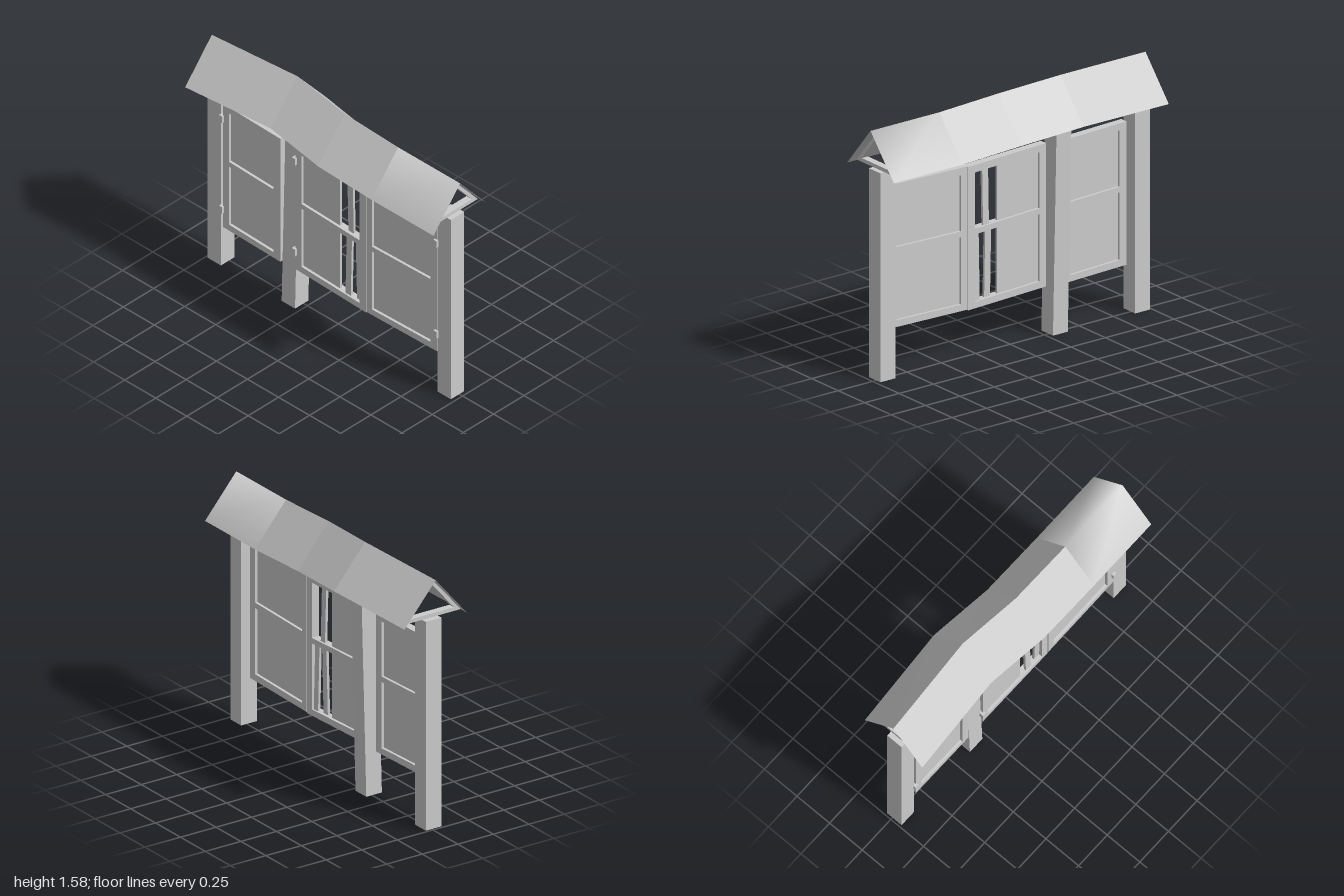
import * as THREE from 'three';

const grey = new THREE.MeshStandardMaterial({ color: 0xcccccc });
const sheet = new THREE.MeshStandardMaterial({ color: 0xcccccc, side: THREE.DoubleSide });

function add(parent, name, geometry, material = grey) {
  const mesh = new THREE.Mesh(geometry, material);
  mesh.name = name;
  parent.add(mesh);
  return mesh;
}

// Side outline given as [z, y] corners, thickened from x0 to x1
const outline = (pts) => pts.map(([z, y]) => new THREE.Vector2(-z, y));
function slab(pts, x0, x1, holes = []) {
  const shape = new THREE.Shape(outline(pts));
  for (const h of holes) shape.holes.push(new THREE.Path(outline(h)));
  const g = new THREE.ExtrudeGeometry(shape, { depth: x1 - x0, bevelEnabled: false });
  return g.rotateY(Math.PI / 2).translate(x0, 0, 0);
}

// Four corners between two z values, with a top and bottom that may slope
const quad = (za, zb, [ba, ta], [bb, tb]) => [[za, ba], [zb, bb], [zb, tb], [za, ta]];

// Post with an open foot, its top shifted sideways by lean
function post(z, height, lean) {
  const g = new THREE.BoxGeometry(0.11, height, 0.108).translate(-0.015, height / 2, z);
  const p = g.attributes.position;
  for (let i = 0; i < p.count; i++) p.setX(i, p.getX(i) + lean * p.getY(i) / height);
  const index = Array.from(g.index.array);
  index.splice(18, 6);
  g.setIndex(index);
  g.clearGroups();
  g.computeVertexNormals();
  return g;
}

// Triangular roof frame standing on a post
function truss(z, dx, dy) {
  const tri = (half, base, apex) => [[-half, base], [half, base], [0, apex]]
    .map(([x, y]) => new THREE.Vector2(x - 0.02 + dx, y + dy));
  const shape = new THREE.Shape(tri(0.205, 1.285, 1.525));
  shape.holes.push(new THREE.Path(tri(0.157, 1.308, 1.493)));
  return new THREE.ExtrudeGeometry(shape, { depth: 0.045, bevelEnabled: false })
    .translate(0, 0, z - 0.0225);
}

// Folded roof sheet through stations [z, ridge x, ridge y, eave y]
function roofSheet(stations, smooth) {
  const pos = [], idx = [];
  for (const [z, x, ridge, eave] of stations) {
    pos.push(x - 0.22, eave - 0.003, z, x, ridge, z, x + 0.22, eave, z);
  }
  for (let i = 0; i < stations.length - 1; i++) {
    for (let k = 0; k < 2; k++) {
      const a = i * 3 + k, b = a + 3;
      idx.push(a, a + 1, b, a + 1, b + 1, b);
    }
  }
  // Stations run from front to back, so flip to face outwards
  for (let i = 0; i < idx.length; i += 3) [idx[i + 1], idx[i + 2]] = [idx[i + 2], idx[i + 1]];
  let g = new THREE.BufferGeometry();
  g.setAttribute('position', new THREE.Float32BufferAttribute(pos, 3));
  g.setIndex(idx);
  if (!smooth) g = g.toNonIndexed();
  g.computeVertexNormals();
  return g;
}

export function createModel() {
  const model = new THREE.Group();
  model.name = 'roofedFence';

  // Posts and the roof frames they carry
  const posts = [
    ['front', 0.92, 1.285, 0, 0, 0],
    ['middle', -0.335, 1.33, 0.035, 0.038, 0.043],
    ['back', -0.932, 1.312, 0, -0.003, 0.03],
  ];
  for (const [name, z, height, lean, dx, dy] of posts) {
    add(model, name + 'Post', post(z, height, lean));
    add(model, name + 'Truss', truss(z, dx, dy));
  }

  // Roof: smoothly shaded front stretch, then creased bends
  const roof = new THREE.Group();
  roof.name = 'roof';
  model.add(roof);
  add(roof, 'roofFront', roofSheet([
    [1, -0.02, 1.535, 1.278], [0.5, -0.02, 1.535, 1.278]], true), sheet);
  add(roof, 'roofRear', roofSheet([
    [0.5, -0.02, 1.535, 1.278], [0.07, -0.02, 1.553, 1.295],
    [-0.35, 0.02, 1.583, 1.328], [-1, -0.02, 1.565, 1.308]], false), sheet);

  // Framed panels: outer z, inner z, and the drop from the high to the low end
  const X0 = -0.07, X1 = -0.02;
  const panels = [
    { name: 'frontPanel', z: [0.862, 0.295], inner: [0.81, 0.34], drop: [0, 0.012] },
    { name: 'middlePanel', z: [0.29, -0.277], inner: [0.24, -0.23], drop: [0.018, 0] },
    { name: 'backPanel', z: [-0.4, -0.862], inner: [-0.455, -0.812], drop: [0.012, 0] },
  ];
  for (const { name, z, inner, drop } of panels) {
    const panel = new THREE.Group();
    panel.name = name;
    model.add(panel);
    const bar = ([a, b], lo, hi) =>
      quad(a, b, [lo - drop[0], hi - drop[0]], [lo - drop[1], hi - drop[1]]);
    add(panel, 'frame', slab(bar(z, 0.286, 1.168), X0, X1,
      [bar(inner, 0.742, 0.327 + 0 * 1), bar(inner, 1.123, 0.777)]));
    // The middle panel has lost boards next to its front stile
    const board = name === 'middlePanel' ? [0.066, inner[1]] : inner;
    add(panel, 'board', slab(bar(board, 0.32, 1.13), -0.053, -0.037));
  }

  // Loose slats left in the broken gap
  const slats = [[0.15, 0.75, 1.115, 0.012], [0.218, 0.3, 0.745, 0.012], [0.135, 0.3, 0.745, -0.012]];
  for (const [z, lo, hi, tilt] of slats) {
    const g = new THREE.BoxGeometry(0.016, hi - lo, 0.043);
    const slat = add(model, 'looseSlat', g);
    slat.position.set(-0.045, (lo + hi) / 2, z);
    slat.rotation.z = tilt * 2;
  }

  // Hinges bridging each panel and its post
  for (const z of [0.86, -0.28, -0.867]) {
    for (const y of [0.413, 1.063]) {
      const hinge = add(model, 'hinge', new THREE.BoxGeometry(0.03, 0.048, 0.026));
      hinge.position.set(-0.07, y, z);
    }
  }
  return model;
}
